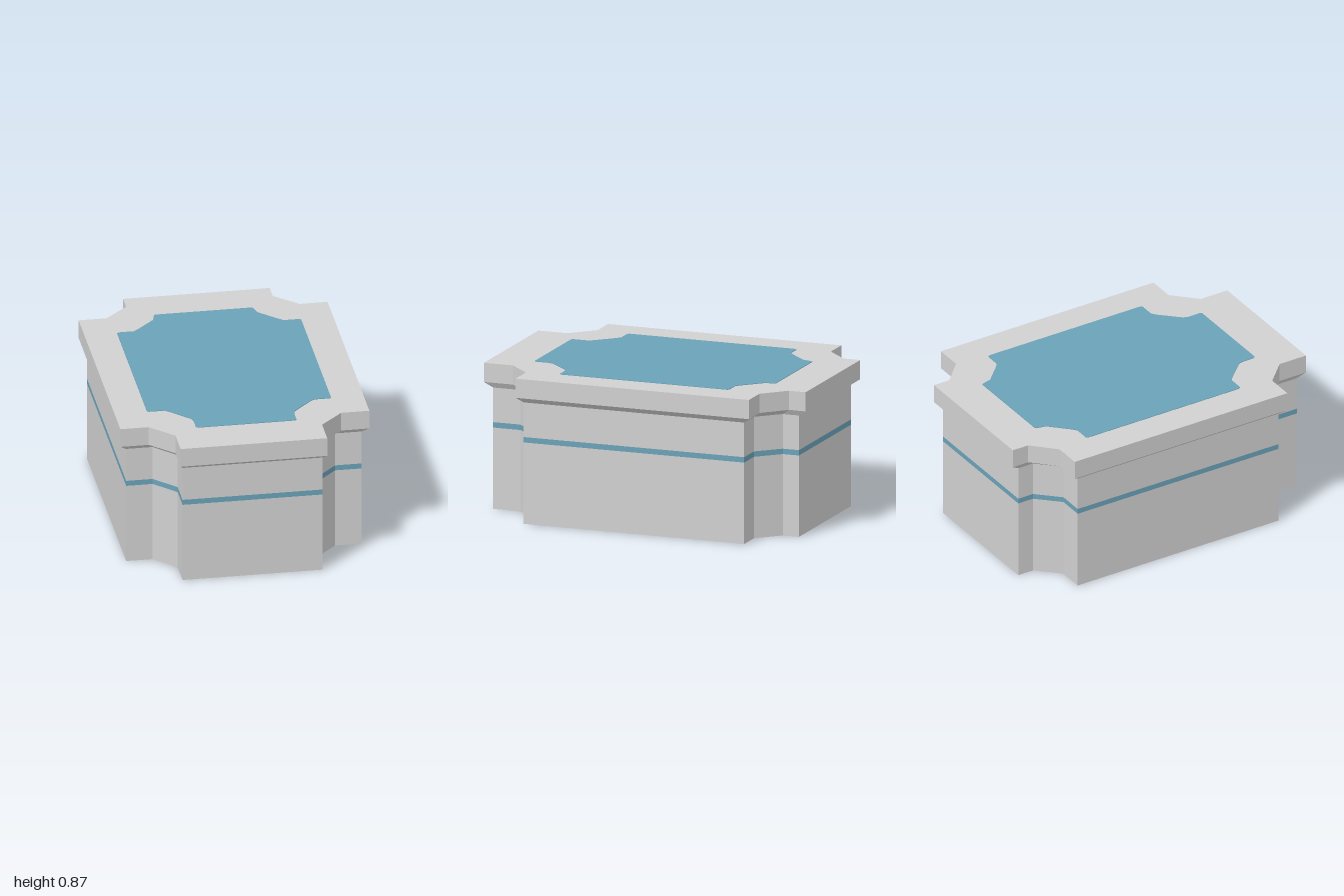
import * as THREE from 'three';

// Right-hand half outlines as [x, z], running from front to back
const bodyHalf = [
  [0.41, 0.95], [0.41, 0.78], [0.535, 0.65], [0.69, 0.65],
  [0.69, -0.72], [0.535, -0.72], [0.41, -0.85], [0.41, -0.95],
];
const rimHalf = [
  [0.43, 1], [0.43, 0.82], [0.565, 0.685], [0.73, 0.685],
  [0.73, -0.765], [0.565, -0.765], [0.43, -0.895], [0.43, -1],
];
// Inset panel with slightly softened corners
const panelHalf = [
  [0.285, 0.74], [0.295, 0.73], [0.295, 0.65], [0.305, 0.62], [0.41, 0.51], [0.44, 0.487], [0.53, 0.487], [0.54, 0.477],
  [0.54, -0.555], [0.53, -0.565], [0.44, -0.565], [0.41, -0.59], [0.305, -0.695], [0.295, -0.74], [0.285, -0.76],
];

// Mirror a half outline across x = 0 into a closed loop
const mirror = (half) => [...half, ...half.slice().reverse().map(([x, z]) => [-x, z])];

// Flat-faced wall between two matching loops
function wall(low, y0, high, y1) {
  const positions = [];
  low.forEach(([ax, az], i) => {
    const j = (i + 1) % low.length;
    const [bx, bz] = low[j], [cx, cz] = high[j], [dx, dz] = high[i];
    positions.push(ax, y0, az, bx, y0, bz, cx, y1, cz);
    positions.push(ax, y0, az, cx, y1, cz, dx, y1, dz);
  });
  const geometry = new THREE.BufferGeometry();
  geometry.setAttribute('position', new THREE.Float32BufferAttribute(positions, 3));
  geometry.computeVertexNormals();
  return geometry;
}

// Flat cap facing up or down
function cap(loop, y, up) {
  const s = up ? -1 : 1;
  const shape = new THREE.Shape(loop.map(([x, z]) => new THREE.Vector2(x, s * z)));
  return new THREE.ShapeGeometry(shape).rotateX(s * Math.PI / 2).translate(0, y, 0);
}

export function createModel() {
  const group = new THREE.Group();
  const grey = new THREE.MeshStandardMaterial({ color: 0xd0d0d0 });
  grey.name = 'light grey';
  const blue = new THREE.MeshStandardMaterial({ color: 0x6aa2b8 });
  blue.name = 'muted blue';

  const add = (name, geometry, material) => {
    const mesh = new THREE.Mesh(geometry, material);
    mesh.name = name;
    group.add(mesh);
  };

  const body = mirror(bodyHalf), rim = mirror(rimHalf), panel = mirror(panelHalf);

  // Body with a flush stripe
  add('base', cap(body, 0, false), grey);
  add('lowerBody', wall(body, 0, body, 0.484), grey);
  add('stripe', wall(body, 0.484, body, 0.516), blue);
  add('upperBody', wall(body, 0.516, body, 0.722), grey);

  // Overhanging rim
  add('rimFlare', wall(body, 0.722, rim, 0.755), grey);
  add('rimSide', wall(rim, 0.755, rim, 0.869), grey);
  add('roof', cap(rim, 0.869, true), grey);

  // Thin coloured roof panel
  add('roofPanel', cap(panel, 0.872, true), blue);
  add('roofPanelEdge', wall(panel, 0.869, panel, 0.872), blue);
  return group;
}
